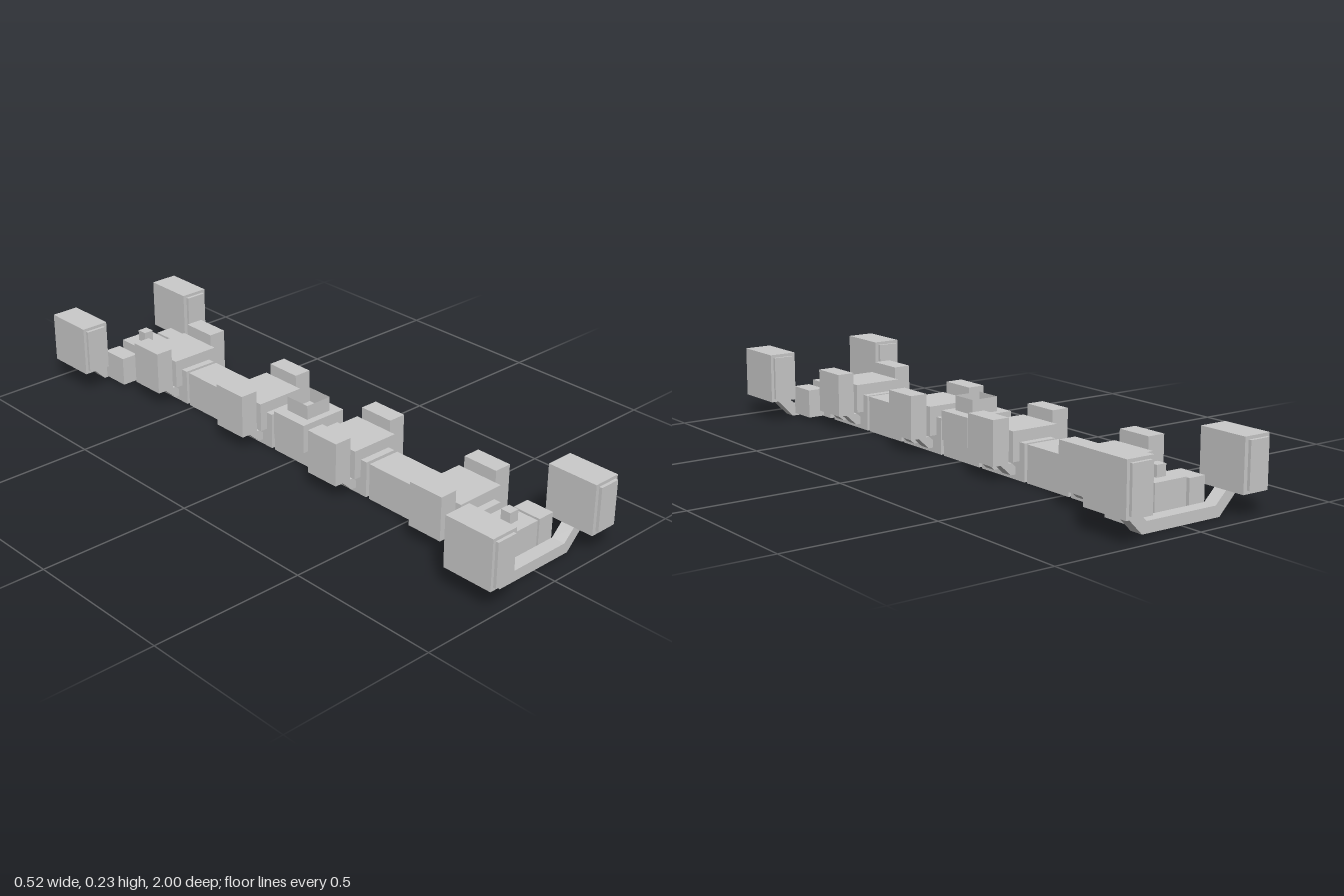
import * as THREE from 'three';

const material = new THREE.MeshStandardMaterial({ color: 0xcccccc, flatShading: true });
const thinMaterial = new THREE.MeshStandardMaterial({ color: 0xcccccc, flatShading: true, side: THREE.DoubleSide });

// Box given by its limits on each axis
function box(parent, name, [x0, x1], [y0, y1], [z0, z1]) {
  const mesh = new THREE.Mesh(new THREE.BoxGeometry(x1 - x0, y1 - y0, z1 - z0), material);
  mesh.position.set((x0 + x1) / 2, (y0 + y1) / 2, (z0 + z1) / 2);
  mesh.name = name;
  parent.add(mesh);
  return mesh;
}

// Outline in x and y, extruded from z0 to z1
function slab(parent, name, points, z0, z1) {
  const shape = new THREE.Shape(points.map(([x, y]) => new THREE.Vector2(x, y)));
  const geometry = new THREE.ExtrudeGeometry(shape, { depth: z1 - z0, bevelEnabled: false });
  geometry.translate(0, 0, z0);
  const mesh = new THREE.Mesh(geometry, material);
  mesh.name = name;
  parent.add(mesh);
}

// Hull section with a wide deck, side pods and slanted pod struts
function podModule(z) {
  const group = new THREE.Group();
  group.name = 'podModule';
  box(group, 'hullSection', [-0.058, 0.058], [0, 0.118], [-0.105, 0.105]);
  box(group, 'wideDeck', [-0.083, 0.083], [0.06, 0.154], [-0.081, 0.081]);
  for (const s of [-1, 1]) {
    const x = [0.083 * s, 0.142 * s].sort((a, b) => a - b);
    box(group, 'sidePod', x, [0.05, 0.192], [-0.061, 0.061]);
    for (const zc of [-0.041, 0.041]) {
      const outline = [[0.055, 0.015], [0.075, 0.015], [0.115, 0.052], [0.072, 0.052], [0.055, 0.037]];
      slab(group, 'podStrut', outline.map(([px, py]) => [px * s, py]), zc - 0.02, zc + 0.02);
    }
  }
  group.position.z = z;
  return group;
}

// End section, with bumper arms carrying the large outer pods
function endModule() {
  const group = new THREE.Group();
  group.name = 'endModule';
  box(group, 'endHull', [-0.058, 0.058], [0, 0.118], [0.767, 0.88]);
  box(group, 'topStud', [-0.017, 0.017], [0.118, 0.154], [0.808, 0.842]);
  slab(group, 'bumperArm', [
    [-0.142, 0], [0.142, 0], [0.213, 0.072], [0.165, 0.072],
    [0.127, 0.035], [-0.127, 0.035], [-0.165, 0.072], [-0.213, 0.072],
  ], 0.88, 0.925);
  for (const s of [-1, 1]) {
    const span = (a, b) => (s > 0 ? [a, b] : [-b, -a]);
    box(group, 'smallSidePod', span(0.082, 0.14), [0.012, 0.107], [0.772, 0.867]);
    box(group, 'outerPod', span(0.165, 0.258), [0.072, 0.235], [0.82, 0.99]);
    box(group, 'podEndPlate', span(0.178, 0.248), [0.083, 0.225], [0.81, 1]);
  }
  return group;
}

export function createModel() {
  const model = new THREE.Group();
  model.name = 'segmentedStation';

  // Centre section with an open tray on its deck
  box(model, 'centreHull', [-0.058, 0.058], [0, 0.118], [-0.093, 0.093]);
  box(model, 'centreDeck', [-0.083, 0.083], [0.06, 0.154], [-0.068, 0.068]);
  const tray = box(model, 'openTray', [-0.047, 0.047], [0.154, 0.201], [-0.045, 0.045]);
  const index = Array.from(tray.geometry.index.array);
  index.splice(12, 12); // leave out the top and bottom faces
  tray.geometry.setIndex(index);
  tray.geometry.clearGroups();
  tray.material = thinMaterial;

  // Hull from the middle to each end
  for (const s of [1, -1]) {
    model.add(podModule(0.212 * s), podModule(0.637 * s));
    const [z0, z1] = s > 0 ? [0.33, 0.52] : [-0.52, -0.33];
    box(model, 'linkHull', [-0.058, 0.058], [0, 0.118], [z0, z1]);
    const end = endModule();
    if (s < 0) end.rotation.y = Math.PI;
    model.add(end);
  }
  return model;
}
